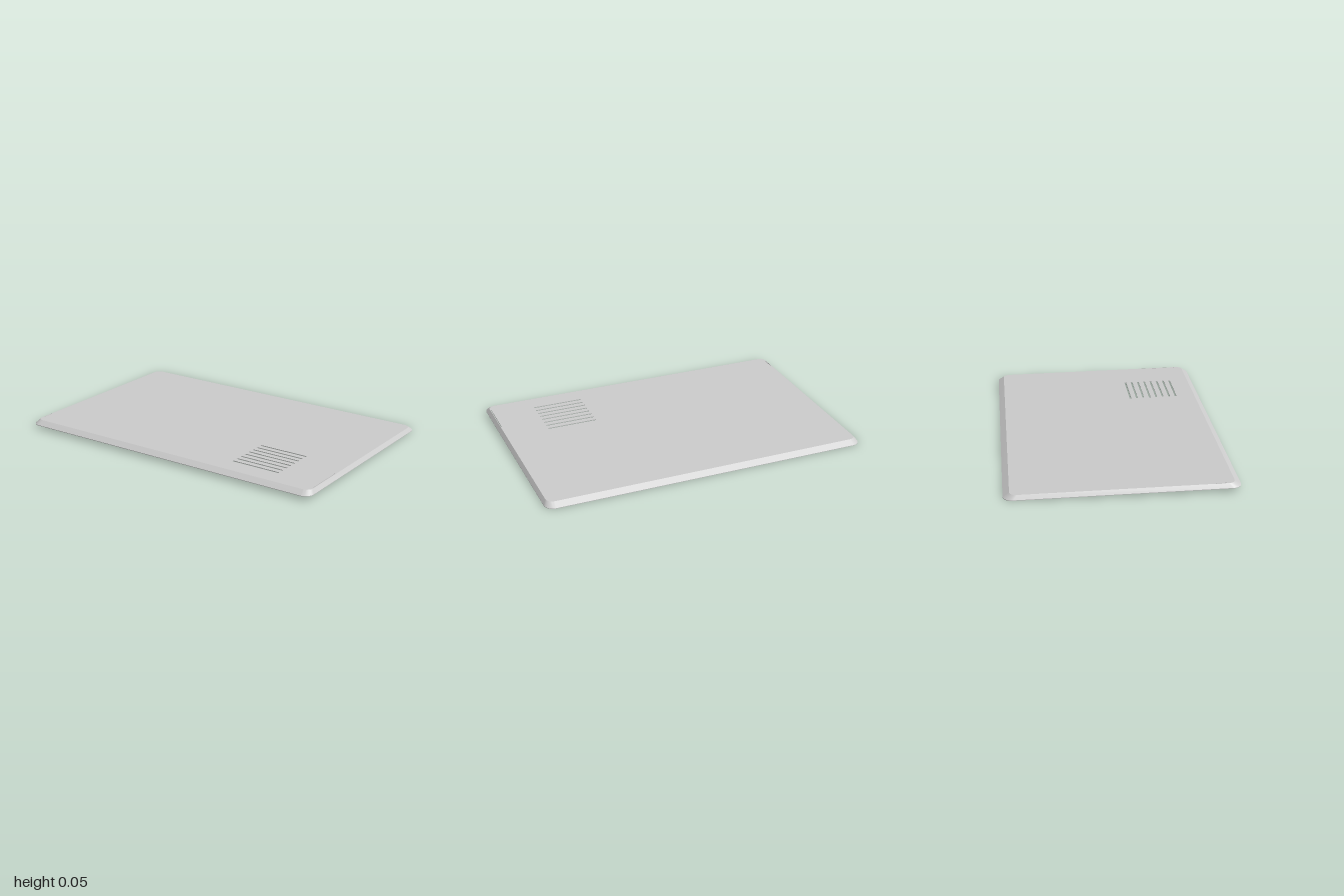
import * as THREE from 'three';
import { toCreasedNormals } from 'three/addons/utils/BufferGeometryUtils.js';

const SLOPE = 0.0165;   // the panel rises gently towards the front
const BASE = 0.0109;    // rim height at mid-depth
const TOP = 0.0262;     // top face above the rim
const WALL = 0.004;     // sheet thickness

// Rounded rectangle, counter-clockwise seen from above (shape y = -z)
function outline(hx, hz, r, steps = 8) {
  const points = [];
  const corners = [[1, 1], [-1, 1], [-1, -1], [1, -1]];
  corners.forEach(([sx, sz], c) => {
    for (let i = 0; i <= steps; i++) {
      const a = (c + i / steps) * Math.PI / 2;
      points.push(new THREE.Vector2(
        sx * (hx - r) + r * Math.cos(a),
        sz * (hz - r) + r * Math.sin(a)));
    }
  });
  return points;
}

// Rectangular hole given by its x and z ranges
function slot(x0, x1, z0, z1) {
  return new THREE.Path([
    new THREE.Vector2(x0, -z0), new THREE.Vector2(x1, -z0),
    new THREE.Vector2(x1, -z1), new THREE.Vector2(x0, -z1),
  ]);
}

// Tilt a level geometry by shearing it along z
function tilt(geometry) {
  const p = geometry.attributes.position;
  for (let i = 0; i < p.count; i++) p.setY(i, p.getY(i) + BASE + SLOPE * p.getZ(i));
  return toCreasedNormals(geometry, 0.35);
}

// Closed-loop surface through a sequence of outlines at given heights
function loft(rings) {
  const positions = [];
  const put = ({ points, y }, j) => {
    const q = points[j % points.length];
    positions.push(q.x, y, -q.y);
  };
  for (let i = 0; i < rings.length - 1; i++) {
    const a = rings[i], b = rings[i + 1];
    for (let j = 0; j < a.points.length; j++) {
      put(a, j); put(b, j); put(b, j + 1);
      put(a, j); put(b, j + 1); put(a, j + 1);
    }
  }
  const geometry = new THREE.BufferGeometry();
  geometry.setAttribute('position', new THREE.Float32BufferAttribute(positions, 3));
  return geometry;
}

export function createModel() {
  const group = new THREE.Group();
  group.name = 'bottomCover';
  const material = new THREE.MeshStandardMaterial({ color: 0xcccccc, side: THREE.DoubleSide });
  const add = (name, geometry) => {
    const mesh = new THREE.Mesh(tilt(geometry), material);
    mesh.name = name;
    group.add(mesh);
  };

  // Flat panel with eight vent slots and a slit along each side
  const shape = new THREE.Shape(outline(0.983, 0.624, 0.04));
  for (let i = 0; i < 8; i++) {
    const z = 0.2 + i * 0.043;
    shape.holes.push(slot(0.405, 0.715, z - 0.006, z + 0.006));
  }
  shape.holes.push(slot(0.976, 0.980, 0.33, 0.575));
  shape.holes.push(slot(-0.980, -0.976, 0.5, 0.575));
  const panel = new THREE.ExtrudeGeometry(shape, { depth: WALL, bevelEnabled: false });
  panel.rotateX(-Math.PI / 2).translate(0, TOP - WALL, 0);
  add('ventedPanel', panel);

  // Sloping edge, rim and hollow inner side
  add('slopedEdge', loft([
    { points: outline(0.983, 0.624, 0.04), y: TOP },
    { points: outline(1, 0.66, 0.055), y: 0.003 },
    { points: outline(1, 0.66, 0.055), y: 0 },
    { points: outline(0.995, 0.654, 0.05), y: 0 },
    { points: outline(0.979, 0.62, 0.036), y: TOP - WALL },
  ]));

  return group;
}
